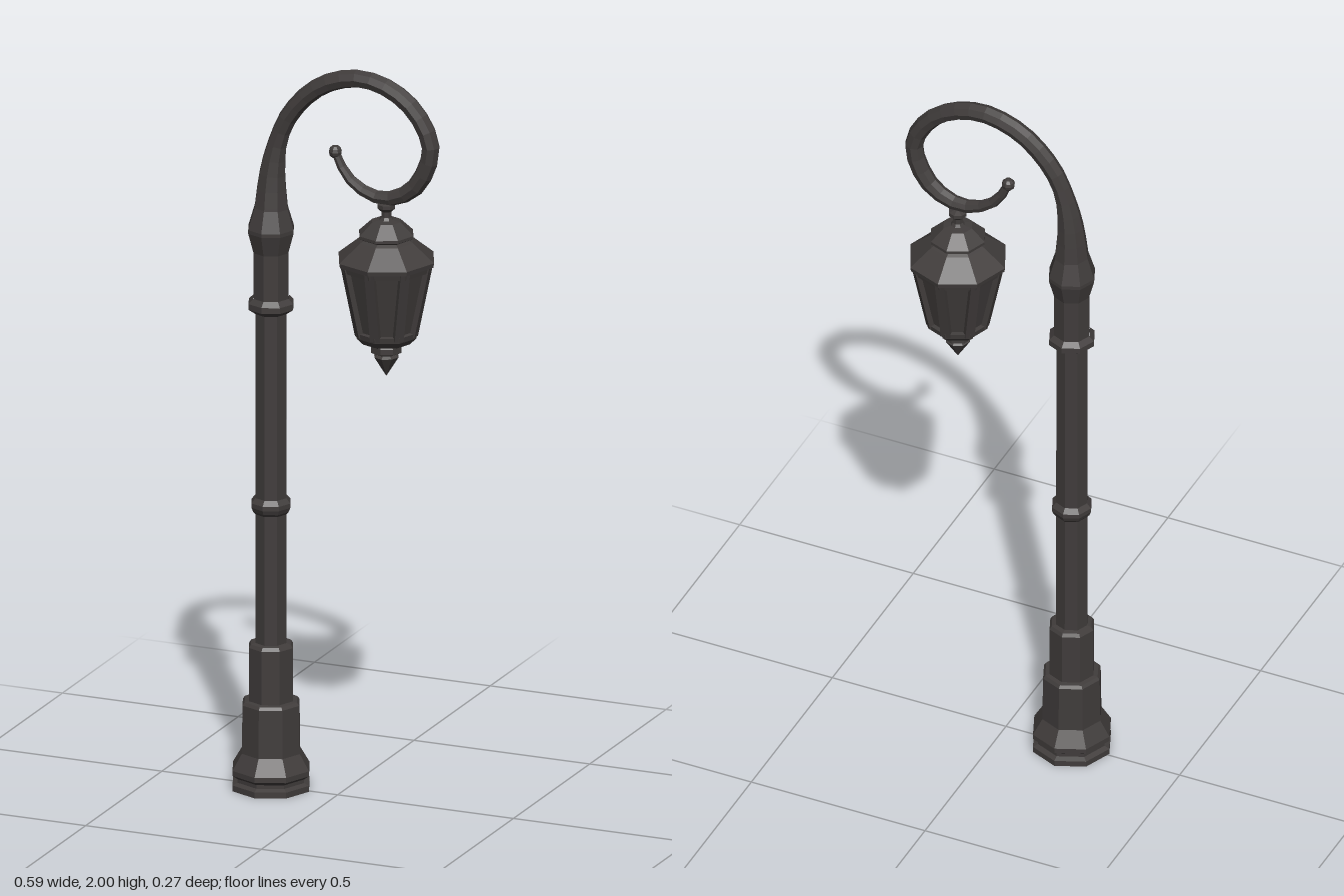
import * as THREE from 'three';

export function createModel() {
  const model = new THREE.Group();
  model.name = 'streetLamp';
  const iron = new THREE.MeshStandardMaterial({ color: 0x403c3b, flatShading: true });
  iron.name = 'dark iron';

  const add = (parent, name, geometry) => {
    // Dropping the shared normals keeps every facet crisp
    const flat = geometry.toNonIndexed();
    flat.computeVertexNormals();
    const mesh = new THREE.Mesh(flat, iron);
    mesh.name = name;
    parent.add(mesh);
    return mesh;
  };
  // Octagonal turned part from [radius, height] pairs, bottom to top
  const turned = (parent, name, profile) =>
    add(parent, name, new THREE.LatheGeometry(profile.map(([r, y]) => new THREE.Vector2(r, y)), 8));

  // Post with stepped base
  const post = new THREE.Group();
  post.name = 'post';
  post.position.set(-0.187, 0, 0.006);
  model.add(post);
  turned(post, 'base', [
    [0, 0], [0.108, 0], [0.108, 0.016], [0.094, 0.022], [0.094, 0.032], [0.108, 0.042],
    [0.108, 0.056], [0.082, 0.1], [0.08, 0.232], [0.074, 0.24], [0.062, 0.242],
    [0.062, 0.388], [0.056, 0.397], [0.043, 0.4],
  ]);
  turned(post, 'shaft', [[0.044, 0.39], [0.043, 1.32]]);
  turned(post, 'middleRing', [[0.043, 0.752], [0.05, 0.76], [0.055, 0.772], [0.055, 0.784], [0.043, 0.798]]);
  turned(post, 'upperRing', [[0.043, 1.302], [0.063, 1.316], [0.063, 1.332], [0.05, 1.345]]);
  turned(post, 'collar', [[0.049, 1.34], [0.049, 1.47], [0.064, 1.525], [0.064, 1.535], [0.044, 1.6], [0.034, 1.66], [0, 1.67]]);

  // Scrolled arm: a tube whose rings are rescaled to taper
  const path = new THREE.CatmullRomCurve3([
    [-0.187, 1.56], [-0.183, 1.685], [-0.167, 1.775], [-0.135, 1.85], [-0.071, 1.923], [-0.008, 1.96],
    [0.071, 1.976], [0.156, 1.955], [0.225, 1.902], [0.267, 1.817], [0.251, 1.743], [0.209, 1.685],
    [0.135, 1.656], [0.066, 1.675], [0.024, 1.712], [-0.003, 1.765],
  ].map(([x, y]) => new THREE.Vector3(x, y, 0.006)));
  const steps = 30, sides = 8;
  const arm = new THREE.TubeGeometry(path, steps, 1, sides);
  const p = arm.attributes.position, v = new THREE.Vector3();
  const radiusAt = (t) => {
    if (t < 0.18) return THREE.MathUtils.lerp(0.05, 0.025, t / 0.18);
    return t < 0.75 ? 0.0245 : THREE.MathUtils.lerp(0.0245, 0.011, (t - 0.75) / 0.25);
  };
  for (let i = 0; i <= steps; i++) {
    const centre = path.getPointAt(i / steps);
    for (let j = 0; j <= sides; j++) {
      const k = i * (sides + 1) + j;
      v.fromBufferAttribute(p, k).sub(centre).multiplyScalar(radiusAt(i / steps)).add(centre);
      p.setXYZ(k, v.x, v.y, v.z);
    }
  }
  add(model, 'scrollArm', arm);
  add(model, 'scrollTip', new THREE.SphereGeometry(0.018, 8, 6)).position.set(-0.004, 1.767, 0.006);

  // Hanging lantern, turned very slightly on its axis
  const lantern = new THREE.Group();
  lantern.name = 'lantern';
  lantern.position.set(0.138, 0, -0.001);
  lantern.rotation.y = 0.035;
  model.add(lantern);
  turned(lantern, 'hanger', [[0.03, 1.58], [0.014, 1.605], [0.014, 1.62], [0.025, 1.63], [0.025, 1.64], [0, 1.648]]);
  turned(lantern, 'roof', [
    [0, 1.48], [0.132, 1.48], [0.134, 1.492], [0.075, 1.54], [0.064, 1.546], [0.076, 1.552],
    [0.076, 1.56], [0.04, 1.594], [0, 1.6],
  ]);
  turned(lantern, 'panes', [[0.072, 1.285], [0.116, 1.485]]);
  turned(lantern, 'topBand', [[0.108, 1.465], [0.123, 1.465], [0.128, 1.485]]);
  turned(lantern, 'bottomBand', [[0, 1.262], [0.066, 1.262], [0.084, 1.28], [0.087, 1.295], [0.07, 1.297]]);
  turned(lantern, 'finial', [
    [0, 1.168], [0.034, 1.222], [0.026, 1.228], [0.043, 1.236], [0.043, 1.252], [0.034, 1.265],
  ]);

  // Leaning ribs on the eight corners
  for (let i = 0; i < 8; i++) {
    const corner = new THREE.Group();
    corner.name = 'cornerRib' + (i + 1);
    corner.rotation.y = (i * Math.PI) / 4;
    const rib = add(corner, 'rib', new THREE.BoxGeometry(0.026, 0.205, 0.014));
    rib.position.set(0, 1.386, 0.098);
    rib.rotation.x = Math.atan2(0.042, 0.2);
    lantern.add(corner);
  }
  return model;
}
